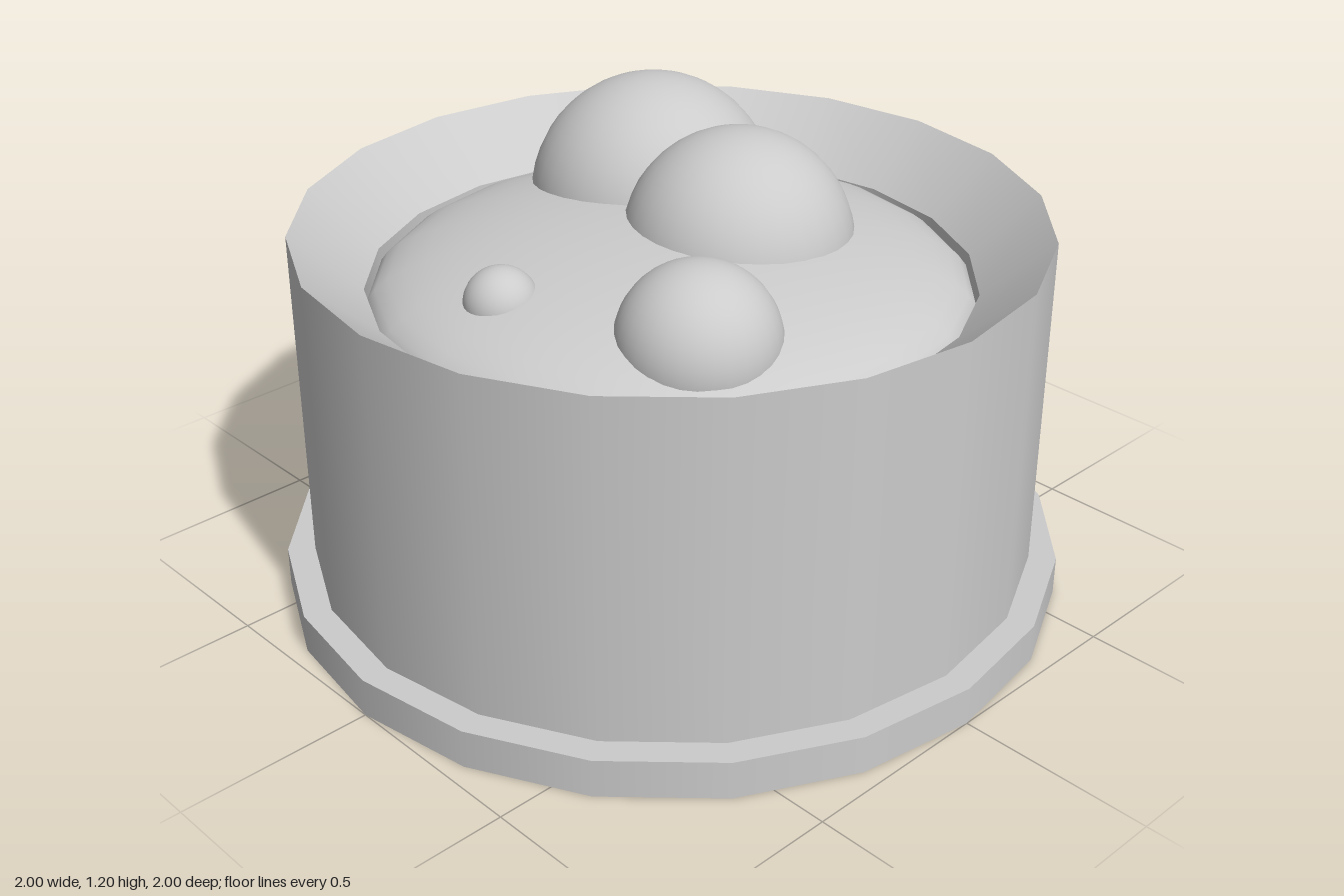
import * as THREE from 'three';

const SIDES = 20;

export function createModel() {
  const model = new THREE.Group();
  const material = new THREE.MeshStandardMaterial({ color: 0xcccccc });

  function add(name, geometry, x = 0, y = 0, z = 0) {
    const mesh = new THREE.Mesh(geometry, material);
    mesh.name = name;
    mesh.position.set(x, y, z);
    model.add(mesh);
    return mesh;
  }
  // Turned surface between [radius, height] points
  const turned = (...points) =>
    new THREE.LatheGeometry(points.map(([r, y]) => new THREE.Vector2(r, y)), SIDES);

  // Base plate and outer wall
  add('basePlate', new THREE.CylinderGeometry(1, 1, 0.1, SIDES), 0, 0.05, 0);
  add('outerWall', turned([0.93, 0.1], [0.93, 0.98]));

  // Sloping inside of the rim, then a short drop to the liquid
  add('rimSlope', turned([0.93, 0.98], [0.755, 0.83]));
  add('innerWall', turned([0.755, 0.83], [0.755, 0.77]));

  // Bulging liquid surface: upper half of a flattened sphere
  const dome = new THREE.SphereGeometry(0.755, SIDES, 12, 0, Math.PI * 2, 0, Math.PI / 2);
  dome.scale(1, 0.2 / 0.755, 1);
  add('liquidSurface', dome, 0, 0.775, 0);

  // Bubbles: radius, x, y, z
  const bubbles = [
    [0.32, 0.23, 0.88, -0.31],
    [0.29, 0.15, 0.89, 0.08],
    [0.195, -0.29, 0.88, 0.39],
    [0.09, -0.5, 0.895, -0.05],
  ];
  bubbles.forEach(([r, x, y, z], i) =>
    add(`bubble${i + 1}`, new THREE.SphereGeometry(r, 32, 24), x, y, z));

  return model;
}
